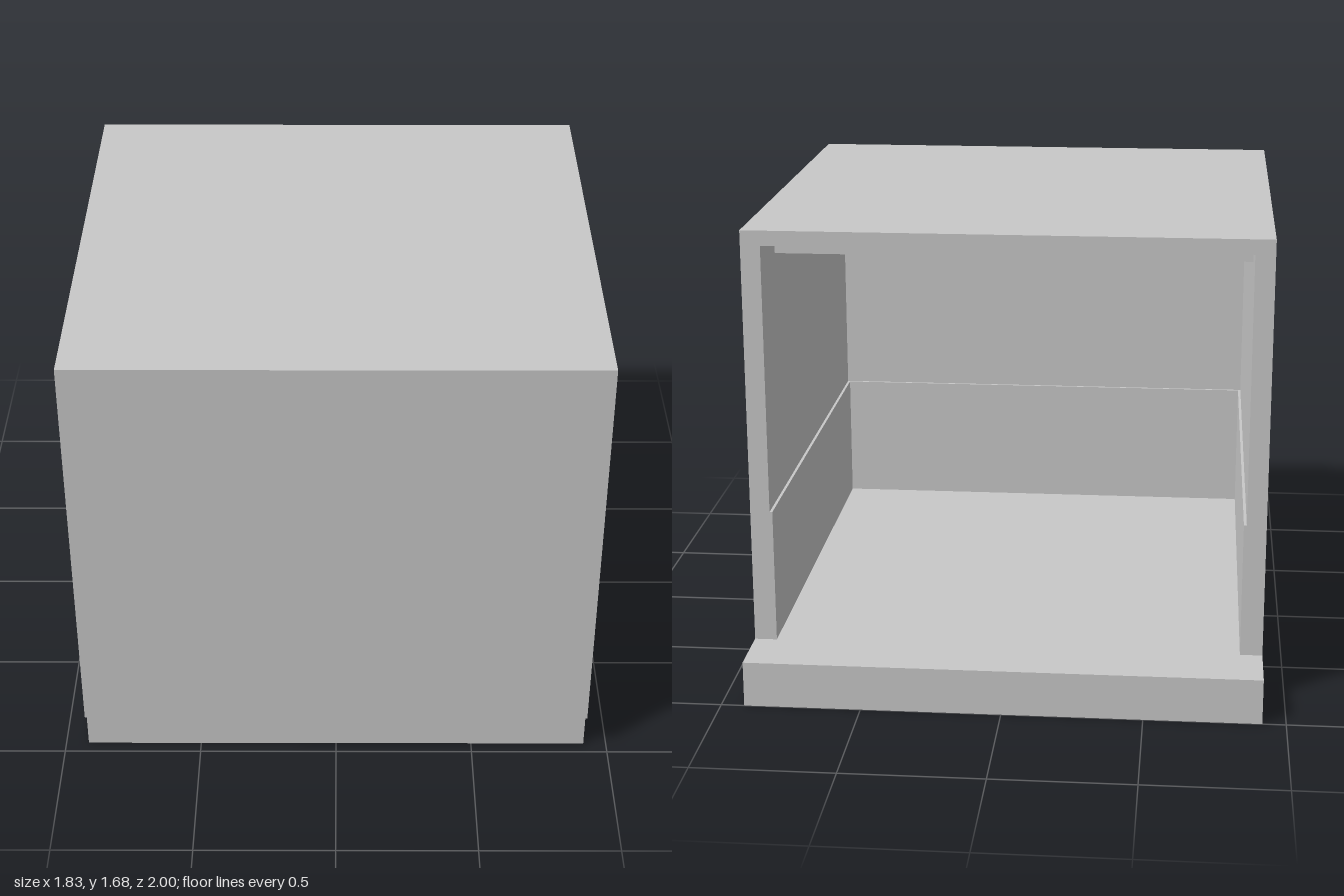
import * as THREE from 'three';

const HALF_W = 0.917;           // half width of the shelter
const FLOOR = 0.165;            // top of the base slab
const TOP = 1.677;
const BACK = -0.782, FRONT = 1; // extent of the walls
const WALL = 0.07, ROOF = 0.053, LINER = 0.01;
const LINER_TOP = 0.655;

export function createModel() {
  const model = new THREE.Group();
  model.name = 'openShelter';
  const grey = new THREE.MeshStandardMaterial({ color: 0xc8c8c8 });
  grey.name = 'lightGrey';

  // Box given by its lower and upper corners
  function box(name, [x0, y0, z0], [x1, y1, z1]) {
    const mesh = new THREE.Mesh(new THREE.BoxGeometry(x1 - x0, y1 - y0, z1 - z0), grey);
    mesh.position.set((x0 + x1) / 2, (y0 + y1) / 2, (z0 + z1) / 2);
    mesh.name = name;
    model.add(mesh);
  }

  // U-shaped upright band following the two sides and the front
  function band(name, outer, inner, zOuter, zInner, y0, y1) {
    const points = [
      [-outer, BACK], [-inner, BACK], [-inner, zInner], [inner, zInner],
      [inner, BACK], [outer, BACK], [outer, zOuter], [-outer, zOuter],
    ].map(([x, z]) => new THREE.Vector2(x, -z));
    const geometry = new THREE.ExtrudeGeometry(new THREE.Shape(points), { depth: y1 - y0, bevelEnabled: false });
    geometry.rotateX(-Math.PI / 2);
    const mesh = new THREE.Mesh(geometry, grey);
    mesh.position.y = y0;
    mesh.name = name;
    model.add(mesh);
  }

  // Base slab, projecting behind the opening
  box('baseSlab', [-HALF_W, 0, -1], [HALF_W, FLOOR, 0.955]);

  // Walls, with a slightly thicker lower lining
  const inner = HALF_W - WALL, zInner = FRONT - WALL;
  band('walls', HALF_W, inner, FRONT, zInner, FLOOR, TOP - ROOF);
  band('lowerLining', inner, inner - LINER, zInner, zInner - LINER, FLOOR, LINER_TOP);

  // Roof and the three beams beneath it
  box('roof', [-HALF_W, TOP - ROOF, BACK], [HALF_W, TOP, FRONT]);
  for (let i = 0; i < 3; i++) {
    const z = -0.535 + i * 0.458;
    box('roofBeam', [-inner, TOP - ROOF - 0.08, z], [inner, TOP - ROOF, z + 0.08]);
  }
  return model;
}
